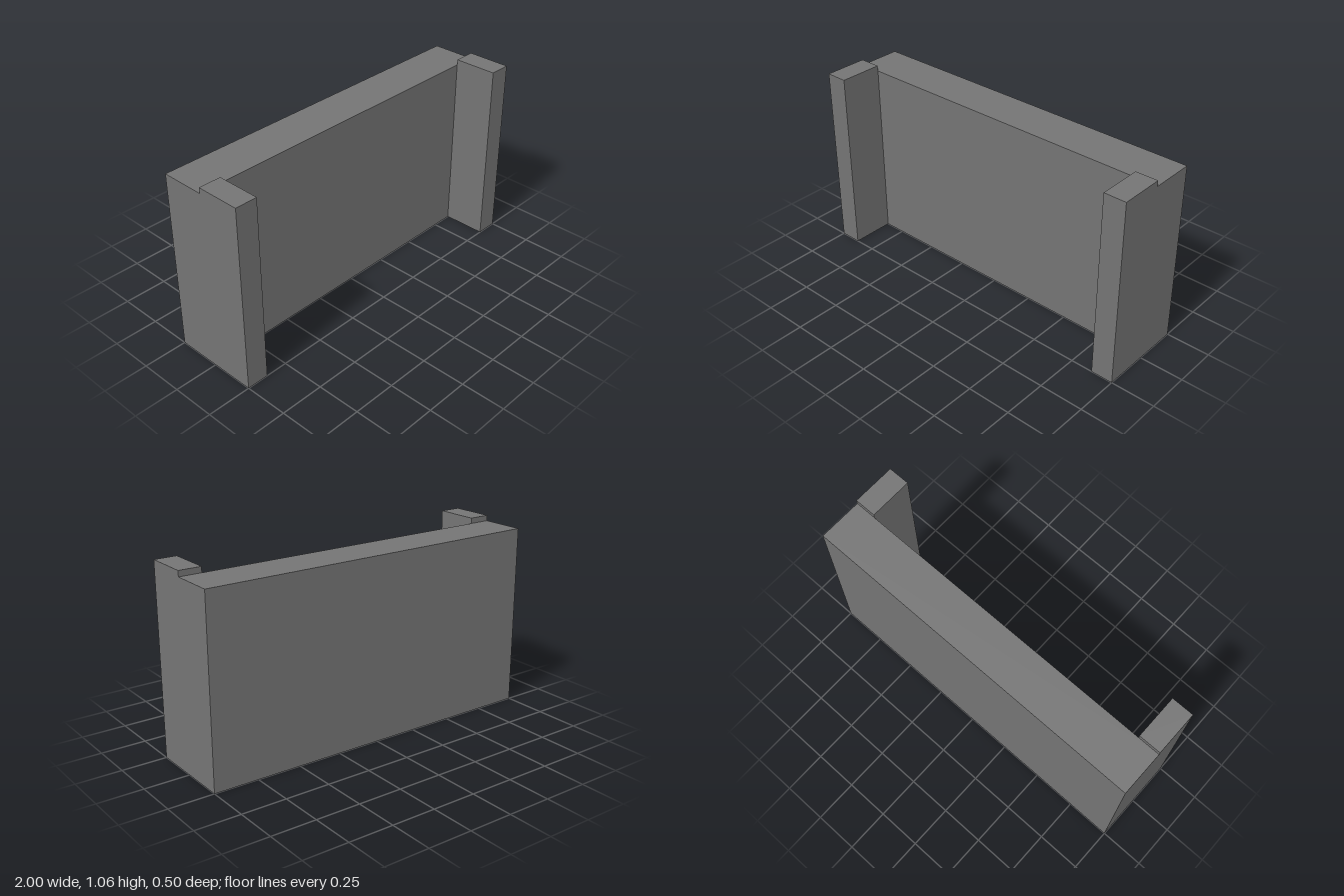
import * as THREE from 'three';

export function createModel() {
  const model = new THREE.Group();
  const grey = new THREE.MeshStandardMaterial({ color: 0x747474 });
  grey.name = 'grey';

  // Box standing on the ground, given its size and centre in x and z
  function addBlock(name, width, height, depth, x, z) {
    const mesh = new THREE.Mesh(new THREE.BoxGeometry(width, height, depth), grey);
    mesh.name = name;
    mesh.position.set(x, height / 2, z);
    model.add(mesh);
  }

  // Thick back wall across the full width
  addBlock('backWall', 2, 1.031, 0.25, 0, -0.125);

  // Slightly taller posts in front of each end
  for (const [name, side] of [['leftPost', 1], ['rightPost', -1]]) {
    addBlock(name, 0.125, 1.0625, 0.25, side * 0.9375, 0.125);
  }

  return model;
}
